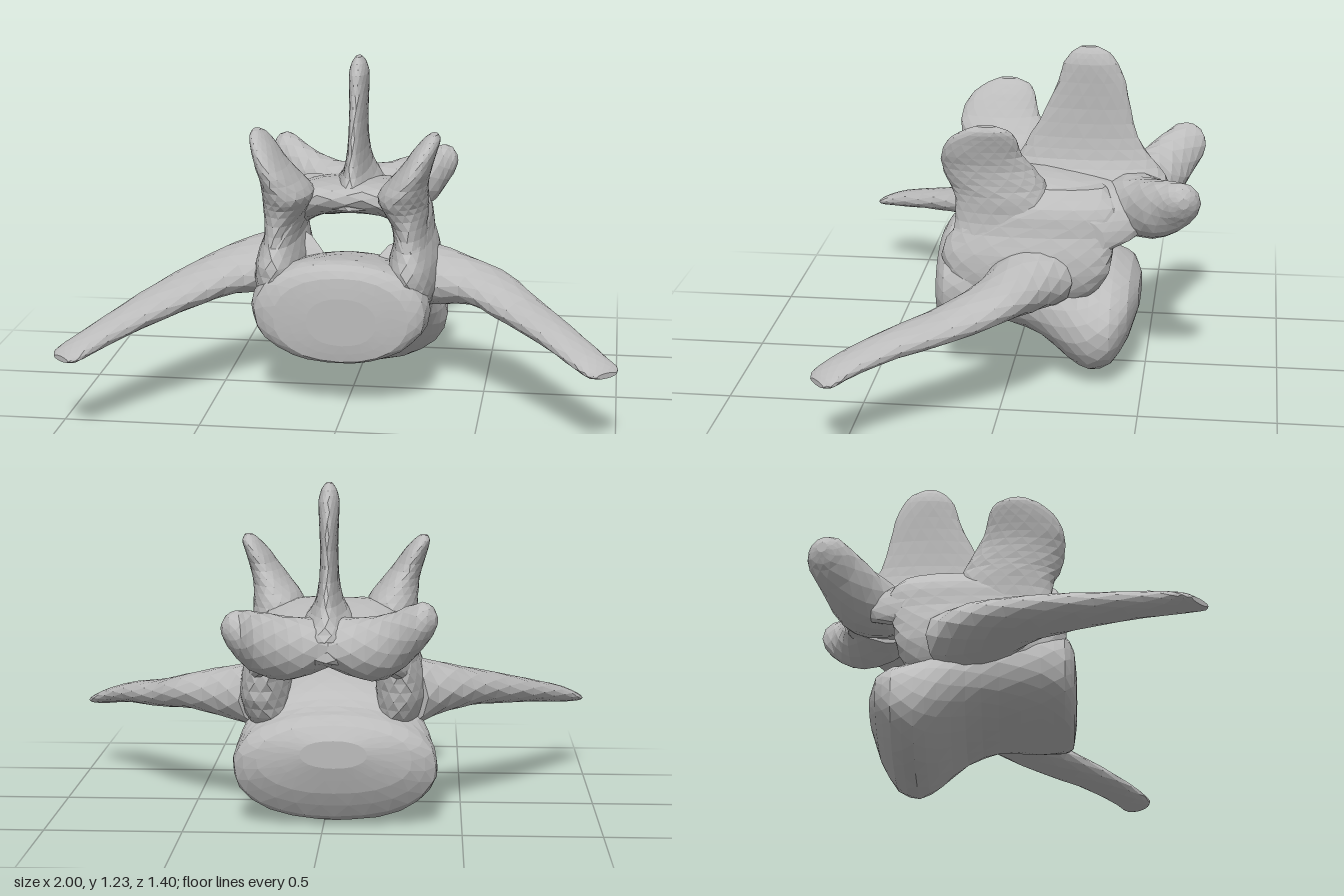
import * as THREE from 'three';

const CENTRE_X = -0.024;

// Small repeatable noise for slightly irregular facets
let seed = 7;
function noise() {
  seed = (seed * 16807) % 2147483647;
  return seed / 2147483647 - 0.5;
}

// Closed organic form through rows of [x, y, z, radiusU, radiusV];
// U and V are the axes of every oval section.
function loft(rows, U, V, { sides = 16, rings = 14, power = 2, rough = 0.008 } = {}) {
  const u = new THREE.Vector3(...U).normalize();
  const v = new THREE.Vector3(...V).normalize();
  const centres = new THREE.CatmullRomCurve3(rows.map(r => new THREE.Vector3(r[0], r[1], r[2])));
  const radii = new THREE.CatmullRomCurve3(rows.map(r => new THREE.Vector3(r[3], r[4], 0)));
  const round = t => Math.sign(t) * Math.abs(t) ** (2 / power);
  const pos = [];
  const index = [];
  for (let i = 0; i <= rings; i++) {
    const c = centres.getPoint(i / rings);
    const r = radii.getPoint(i / rings);
    for (let j = 0; j < sides; j++) {
      const a = ((j + (i % 2) * 0.5) / sides) * Math.PI * 2;
      const k = 1 + noise() * rough * 4;
      const p = c.clone()
        .addScaledVector(u, round(Math.cos(a)) * r.x * k)
        .addScaledVector(v, round(Math.sin(a)) * r.y * k);
      pos.push(p.x, p.y, p.z);
    }
  }
  // Keep faces outward whichever way the path runs
  const along = centres.getPoint(1).sub(centres.getPoint(0));
  const forward = u.clone().cross(v).dot(along) > 0;
  const tri = (a, b, c) => (forward ? index.push(a, b, c) : index.push(a, c, b));
  for (let i = 0; i < rings; i++) {
    for (let j = 0; j < sides; j++) {
      const n = (j + 1) % sides;
      const a = i * sides + j, b = i * sides + n;
      const d = a + sides, e = b + sides;
      if (i % 2) { tri(a, b, e); tri(a, e, d); }
      else { tri(a, b, d); tri(b, e, d); }
    }
  }
  // End caps
  const first = centres.getPoint(0), last = centres.getPoint(1);
  const c0 = pos.length / 3;
  pos.push(first.x, first.y, first.z, last.x, last.y, last.z);
  for (let j = 0; j < sides; j++) {
    const n = (j + 1) % sides;
    tri(c0, n, j);
    tri(c0 + 1, rings * sides + j, rings * sides + n);
  }
  const geo = new THREE.BufferGeometry();
  geo.setAttribute('position', new THREE.Float32BufferAttribute(pos, 3));
  geo.setIndex(index);
  const flat = geo.toNonIndexed();
  flat.computeVertexNormals();
  return flat;
}

export function createModel() {
  const model = new THREE.Group();
  model.name = 'vertebra';
  const bone = new THREE.MeshStandardMaterial({ color: 0xbcbcbc, flatShading: true });
  bone.name = 'bone grey';
  const X = [1, 0, 0], Y = [0, 1, 0], Z = [0, 0, 1];
  const add = (name, rows, U, V, options) => {
    const mesh = new THREE.Mesh(loft(rows, U, V, options), bone);
    mesh.name = name;
    model.add(mesh);
  };
  const side = (rows, s) => rows.map(([x, ...rest]) => [CENTRE_X + s * x, ...rest]);

  // Drum-shaped body, its rear end lower and wider
  add('vertebralBody', [
    [-0.01, 0.34, 0.282, 0.13, 0.09],
    [-0.015, 0.345, 0.272, 0.25, 0.16],
    [-0.025, 0.36, 0.235, 0.315, 0.19],
    [-0.03, 0.36, 0.15, 0.335, 0.19],
    [-0.03, 0.35, 0, 0.32, 0.175],
    [-0.03, 0.315, -0.12, 0.325, 0.185],
    [-0.035, 0.255, -0.22, 0.355, 0.21],
    [-0.04, 0.212, -0.3, 0.372, 0.212],
    [-0.04, 0.22, -0.38, 0.365, 0.188],
    [-0.04, 0.255, -0.44, 0.28, 0.125],
    [-0.04, 0.28, -0.473, 0.12, 0.05],
  ], X, Y, { sides: 24, rings: 20, power: 2.2, rough: 0.004 });

  // Arched roof over the canal
  add('lamina', [
    [-0.31, 0.6, -0.2, 0.16, 0.08],
    [-0.25, 0.65, -0.22, 0.26, 0.09],
    [-0.15, 0.69, -0.25, 0.31, 0.075],
    [-0.02, 0.695, -0.26, 0.32, 0.07],
    [0.11, 0.69, -0.25, 0.31, 0.075],
    [0.21, 0.65, -0.22, 0.26, 0.09],
    [0.27, 0.6, -0.2, 0.16, 0.08],
  ], [0, 0.16, 1], Y, { power: 2.4 });

  // Tall thin blade with a flared base
  add('spinousProcess', [
    [-0.015, 0.7, -0.27, 0.31, 0.16],
    [-0.015, 0.75, -0.26, 0.3, 0.09],
    [-0.015, 0.81, -0.26, 0.25, 0.05],
    [-0.015, 0.89, -0.255, 0.2, 0.035],
    [-0.015, 1.0, -0.27, 0.155, 0.032],
    [-0.015, 1.1, -0.28, 0.125, 0.036],
    [-0.015, 1.17, -0.275, 0.1, 0.038],
    [-0.015, 1.21, -0.275, 0.07, 0.027],
    [-0.015, 1.232, -0.27, 0.03, 0.012],
  ], Z, X, { rings: 16 });

  for (const [s, label] of [[1, 'left'], [-1, 'right']]) {
    // Wall beside the canal, running down into the body
    add(label + 'Pedicle', side([
      [0.21, 0.28, -0.02, 0.2, 0.07],
      [0.235, 0.36, -0.05, 0.27, 0.09],
      [0.25, 0.44, -0.065, 0.305, 0.098],
      [0.25, 0.52, -0.07, 0.315, 0.092],
      [0.245, 0.6, -0.095, 0.295, 0.07],
      [0.225, 0.68, -0.12, 0.28, 0.075],
      [0.17, 0.75, -0.14, 0.21, 0.07],
    ], s), Z, X, { power: 2.3 });

    // Upright front joint, its foot leaning in over the canal
    add(label + 'FrontArticularProcess', side([
      [0.25, 0.53, 0.01, 0.21, 0.07],
      [0.245, 0.64, 0.02, 0.175, 0.06],
      [0.225, 0.72, 0.03, 0.175, 0.085],
      [0.215, 0.77, 0.05, 0.18, 0.095],
      [0.238, 0.83, 0.075, 0.168, 0.075],
      [0.27, 0.89, 0.095, 0.148, 0.057],
      [0.3, 0.95, 0.085, 0.125, 0.045],
      [0.322, 0.99, 0.07, 0.085, 0.032],
      [0.33, 1.01, 0.07, 0.035, 0.015],
    ], s), Z, X, { rings: 18 });

    // Flaring rear joint with a broad rounded tip, the left one a little lower
    const drop = s > 0 ? 0.035 : 0;
    add(label + 'RearArticularProcess', side([
      [0.02, 0.68, -0.43, 0.09, 0.14],
      [0.12, 0.665, -0.47, 0.11, 0.13],
      [0.205, 0.68, -0.525, 0.115, 0.105],
      [0.275, 0.725 - drop / 2, -0.575, 0.105, 0.09],
      [0.33 - drop / 2, 0.77 - drop, -0.622, 0.083, 0.08],
      [0.36 - drop / 2, 0.785 - drop, -0.635, 0.055, 0.055],
      [0.378 - drop / 2, 0.79 - drop, -0.64, 0.02, 0.02],
    ], s), Y, [s * 0.3, 0, 1], { sides: 12, rings: 12 });
  }

  // Long side wings, tapering forward, outward and down
  add('leftTransverseProcess', [
    [0.19, 0.43, -0.13, 0.17, 0.13],
    [0.33, 0.43, -0.055, 0.155, 0.105],
    [0.5, 0.42, 0.02, 0.12, 0.07],
    [0.64, 0.38, 0.17, 0.1, 0.055],
    [0.79, 0.345, 0.37, 0.08, 0.042],
    [0.9, 0.305, 0.505, 0.074, 0.032],
    [0.945, 0.285, 0.55, 0.073, 0.022],
    [0.962, 0.278, 0.566, 0.045, 0.01],
  ], [0.75, 0, -0.66], Y, { sides: 12, rings: 18 });
  add('rightTransverseProcess', [
    [-0.24, 0.45, -0.14, 0.18, 0.14],
    [-0.37, 0.455, -0.05, 0.16, 0.105],
    [-0.5, 0.44, 0.05, 0.13, 0.075],
    [-0.64, 0.405, 0.21, 0.112, 0.06],
    [-0.78, 0.36, 0.4, 0.085, 0.045],
    [-0.9, 0.315, 0.58, 0.07, 0.034],
    [-0.945, 0.295, 0.645, 0.073, 0.022],
    [-0.96, 0.288, 0.665, 0.045, 0.01],
  ], [-0.75, 0, -0.66], Y, { sides: 12, rings: 18 });

  return model;
}
